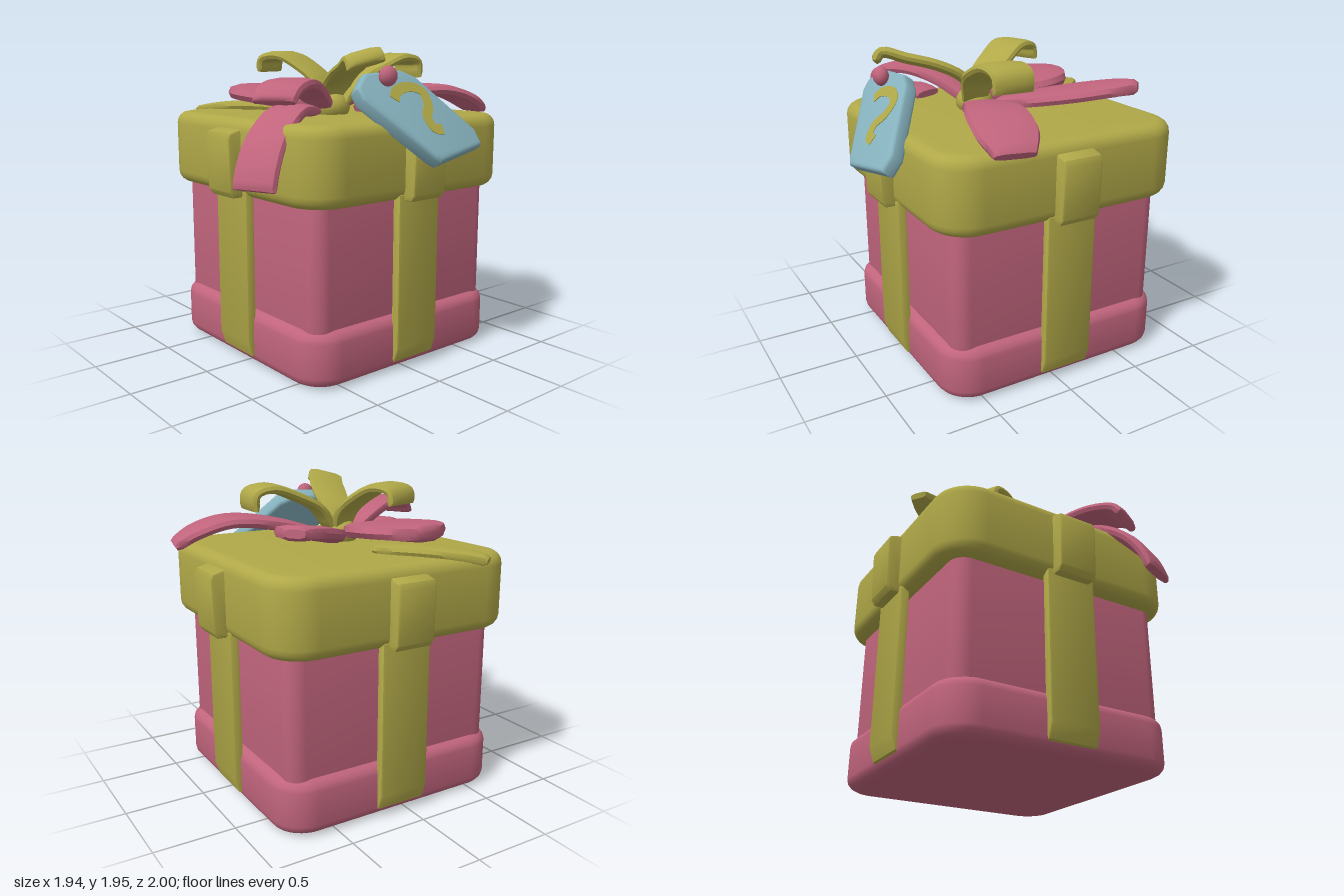
import * as THREE from 'three';
import { toCreasedNormals } from 'three/addons/utils/BufferGeometryUtils.js';

const CX = -0.06, CZ = -0.055; // centre of the box itself
const V = (x, y, z) => new THREE.Vector3(x, y, z);

function roundedSquare(h, r) {
  const s = new THREE.Shape();
  s.moveTo(h - r, -h);
  s.absarc(h - r, -h + r, r, -Math.PI / 2, 0);
  s.absarc(h - r, h - r, r, 0, Math.PI / 2);
  s.absarc(-h + r, h - r, r, Math.PI / 2, Math.PI);
  s.absarc(-h + r, -h + r, r, Math.PI, Math.PI * 1.5);
  return s;
}

// Square block with rounded corners and softened edges
function slab(half, y0, y1, radius, bevel, inset = bevel) {
  const g = new THREE.ExtrudeGeometry(roundedSquare(half - inset, radius), {
    depth: y1 - y0 - 2 * bevel, bevelThickness: bevel, bevelSize: inset, bevelSegments: 4, curveSegments: 6,
  });
  g.rotateX(-Math.PI / 2).translate(CX, y0 + bevel, CZ);
  return toCreasedNormals(g, 0.7);
}

// Side profile [distance from box centre, height] swept across a strip's width
function strip(profile, width) {
  const b = 0.015;
  const shape = new THREE.Shape(profile.map(p => new THREE.Vector2(p[0], p[1])));
  const g = new THREE.ExtrudeGeometry(shape, {
    depth: width - 2 * b, bevelThickness: b, bevelSize: b, bevelOffset: -b, bevelSegments: 2,
  });
  g.translate(0, 0, -width / 2 + b);
  return toCreasedNormals(g, 0.6);
}

// Ribbon band through stations [x, y, z, width]
function band(stations, thick, roll = 0, steps = 20) {
  const path = new THREE.CatmullRomCurve3(stations.map(s => V(s[0], s[1], s[2])));
  const widths = new THREE.CatmullRomCurve3(stations.map((s, i) => V(i, s[3], 0)));
  const first = stations[0], last = stations[stations.length - 1];
  const dir = V(last[0] - first[0], 0, last[2] - first[2]).normalize();
  const side = dir.clone().cross(V(0, 1, 0)).applyAxisAngle(dir, roll);
  // Cross-section as fractions of half width and half thickness
  const ring = [[1, 0], [0.92, 0.7], [0.5, 1], [-0.5, 1], [-0.92, 0.7], [-1, 0],
    [-0.92, -0.7], [-0.5, -1], [0.5, -1], [0.92, -0.7]];
  const n = ring.length, pos = [], idx = [];
  for (let i = 0; i <= steps; i++) {
    const t = i / steps;
    const c = path.getPoint(t), normal = side.clone().cross(path.getTangent(t)).normalize();
    const w = widths.getPoint(t).y / 2;
    const h = thick / 2 * (i === 0 || i === steps ? 0.6 : 1);
    for (const [a, b] of ring) {
      const p = c.clone().addScaledVector(side, a * w).addScaledVector(normal, b * h);
      pos.push(p.x, p.y, p.z);
    }
  }
  for (let i = 0; i < steps; i++) {
    for (let j = 0; j < n; j++) {
      const a = i * n + j, b = i * n + (j + 1) % n;
      idx.push(a, a + n, b, b, a + n, b + n);
    }
  }
  for (let j = 1; j < n - 1; j++) {
    const e = steps * n;
    idx.push(0, j, j + 1, e, e + j + 1, e + j);
  }
  const g = new THREE.BufferGeometry();
  g.setAttribute('position', new THREE.Float32BufferAttribute(pos, 3));
  g.setIndex(idx);
  return toCreasedNormals(g, 0.8);
}

export function createModel() {
  const model = new THREE.Group();
  model.name = 'giftBox';
  const material = (name, color) => {
    const m = new THREE.MeshStandardMaterial({ color });
    m.name = name;
    return m;
  };
  const yellow = material('olive yellow', 0xb0a848);
  const pink = material('rose pink', 0xc0647c);
  const blue = material('pale blue', 0x86b2be);
  const add = (name, geometry, mat, parent = model) => {
    const m = new THREE.Mesh(geometry, mat);
    m.name = name;
    parent.add(m);
    return m;
  };

  // Box
  add('base', slab(0.775, 0.0, 0.35, 0.12, 0.07, 0.09), pink);
  add('body', slab(0.72, 0.2, 1.2, 0.07, 0.03), pink);
  add('lid', slab(0.82, 1.065, 1.535, 0.17, 0.075), yellow);

  // Vertical straps on the four sides
  const strap = strip([[0.755, 1.1], [0.755, 0.2], [0.6, 0.08], [0.6, 0.02], [0.72, 0.025],
    [0.785, 0.06], [0.815, 0.15], [0.815, 1.1]], 0.335);
  const lidStrap = strip([[0.78, 1.065], [0.87, 1.065], [0.895, 1.1], [0.905, 1.42], [0.89, 1.455],
    [0.82, 1.475], [0.78, 1.475]], 0.26);
  for (let i = 0; i < 4; i++) {
    for (const [name, g] of [['strap', strap], ['lidStrap', lidStrap]]) {
      const m = add(name + (i + 1), g, yellow);
      m.position.set(CX, 0, CZ);
      m.rotation.y = i * Math.PI / 2;
    }
  }

  // Lower pink layer of the bow
  add('frontLoop', band([[0.07, 1.58, 0.13, 0.14], [0.17, 1.7, 0.34, 0.24], [0.29, 1.745, 0.54, 0.28],
    [0.39, 1.71, 0.71, 0.28], [0.41, 1.65, 0.76, 0.27]], 0.07), pink);
  add('frontTail', band([[0.24, 1.58, 0.4, 0.2], [0.32, 1.585, 0.6, 0.25], [0.4, 1.45, 0.8, 0.27],
    [0.45, 1.3, 0.9, 0.28], [0.47, 1.18, 0.94, 0.28]], 0.07), pink);
  add('backTail', band([[0.18, 1.57, -0.05, 0.08], [0.23, 1.65, -0.33, 0.24], [0.31, 1.68, -0.62, 0.36],
    [0.36, 1.62, -0.83, 0.36], [0.39, 1.54, -0.96, 0.24]], 0.075), pink);
  add('backLeftLoop', band([[-0.03, 1.57, -0.03, 0.08], [-0.2, 1.63, -0.23, 0.32], [-0.4, 1.68, -0.42, 0.38],
    [-0.57, 1.72, -0.58, 0.3], [-0.66, 1.73, -0.66, 0.12]], 0.08), pink);
  add('frontLeftLoop', band([[0.08, 1.58, 0.16, 0.14], [-0.12, 1.62, 0.2, 0.44], [-0.38, 1.65, 0.22, 0.58],
    [-0.58, 1.66, 0.23, 0.44], [-0.68, 1.66, 0.23, 0.16]], 0.1), pink);

  // Upper yellow layer of the bow
  add('leftTail', band([[-0.4, 1.55, 0.05, 0.2], [-0.65, 1.56, 0.22, 0.25], [-0.84, 1.545, 0.37, 0.19],
    [-0.95, 1.52, 0.46, 0.1]], 0.06), yellow);
  add('upperBackLoop', band([[0.1, 1.6, 0.02, 0.16], [0.12, 1.75, -0.08, 0.24], [0.14, 1.83, -0.23, 0.28],
    [0.15, 1.89, -0.41, 0.28], [0.15, 1.86, -0.53, 0.27], [0.15, 1.76, -0.54, 0.26]], 0.06), yellow);
  add('upperLeftLoop', band([[0.06, 1.6, 0.07, 0.16], [0, 1.73, 0.08, 0.22], [-0.12, 1.83, 0.12, 0.25],
    [-0.25, 1.9, 0.18, 0.26], [-0.37, 1.88, 0.23, 0.26], [-0.39, 1.8, 0.23, 0.25]], 0.06), yellow);
  add('upperRightLoop', band([[0.07, 1.62, 0.06, 0.16], [0.15, 1.74, 0.08, 0.22], [0.3, 1.82, 0.13, 0.25],
    [0.48, 1.87, 0.21, 0.25], [0.61, 1.905, 0.28, 0.24], [0.65, 1.85, 0.29, 0.24]], 0.06, 0.25), yellow);
  const knot = add('knot', new THREE.SphereGeometry(0.12, 16, 10), yellow);
  knot.position.set(0.07, 1.58, 0.07);
  knot.scale.y = 0.8;

  // Hanging tag leaning away from the box
  const tag = new THREE.Group();
  tag.name = 'tag';
  tag.position.set(0.75, 1.54, 0);
  tag.rotation.set(-0.626, Math.PI / 2, 0, 'YXZ');
  model.add(tag);
  const outline = [[-0.36, 0.12], [-0.37, 0.2], [-0.27, 0.3], [0.02, 0.32], [0.12, 0.27], [0.41, -0.12],
    [0.41, -0.23], [0.01, -0.31], [-0.03, -0.28]];
  const plate = new THREE.ExtrudeGeometry(
    new THREE.Shape(outline.map(p => new THREE.Vector2(p[0], p[1])).reverse()),
    { depth: 0.05, bevelThickness: 0.025, bevelSize: 0.025, bevelOffset: -0.025, bevelSegments: 3 });
  plate.translate(0, 0, -0.025);
  add('tagPlate', toCreasedNormals(plate, 0.7), blue, tag);

  // Curled ornament painted on the tag
  const curl = new THREE.CatmullRomCurve3([[-0.14, 0.11], [-0.1, 0.16], [0.02, 0.19], [0.11, 0.15],
    [0.1, 0.05], [0.05, -0.02], [0.07, -0.1], [0.13, -0.11]].map(p => V(p[0], p[1], 0)));
  const left = [], right = [];
  for (let i = 0; i <= 32; i++) {
    const p = curl.getPoint(i / 32), t = curl.getTangent(i / 32);
    left.push(new THREE.Vector2(p.x - t.y * 0.034, p.y + t.x * 0.034));
    right.unshift(new THREE.Vector2(p.x + t.y * 0.034, p.y - t.x * 0.034));
  }
  const ornament = new THREE.ExtrudeGeometry(new THREE.Shape([...left, ...right]),
    { depth: 0.006, bevelEnabled: false });
  add('tagOrnament', ornament.translate(0, 0, 0.048), yellow, tag);

  // Bead fastening the tag to the bow
  const bead = add('tagBead', new THREE.SphereGeometry(0.06, 14, 10), pink);
  bead.position.set(0.675, 1.79, 0.145);
  bead.scale.x = 0.8;

  return model;
}
